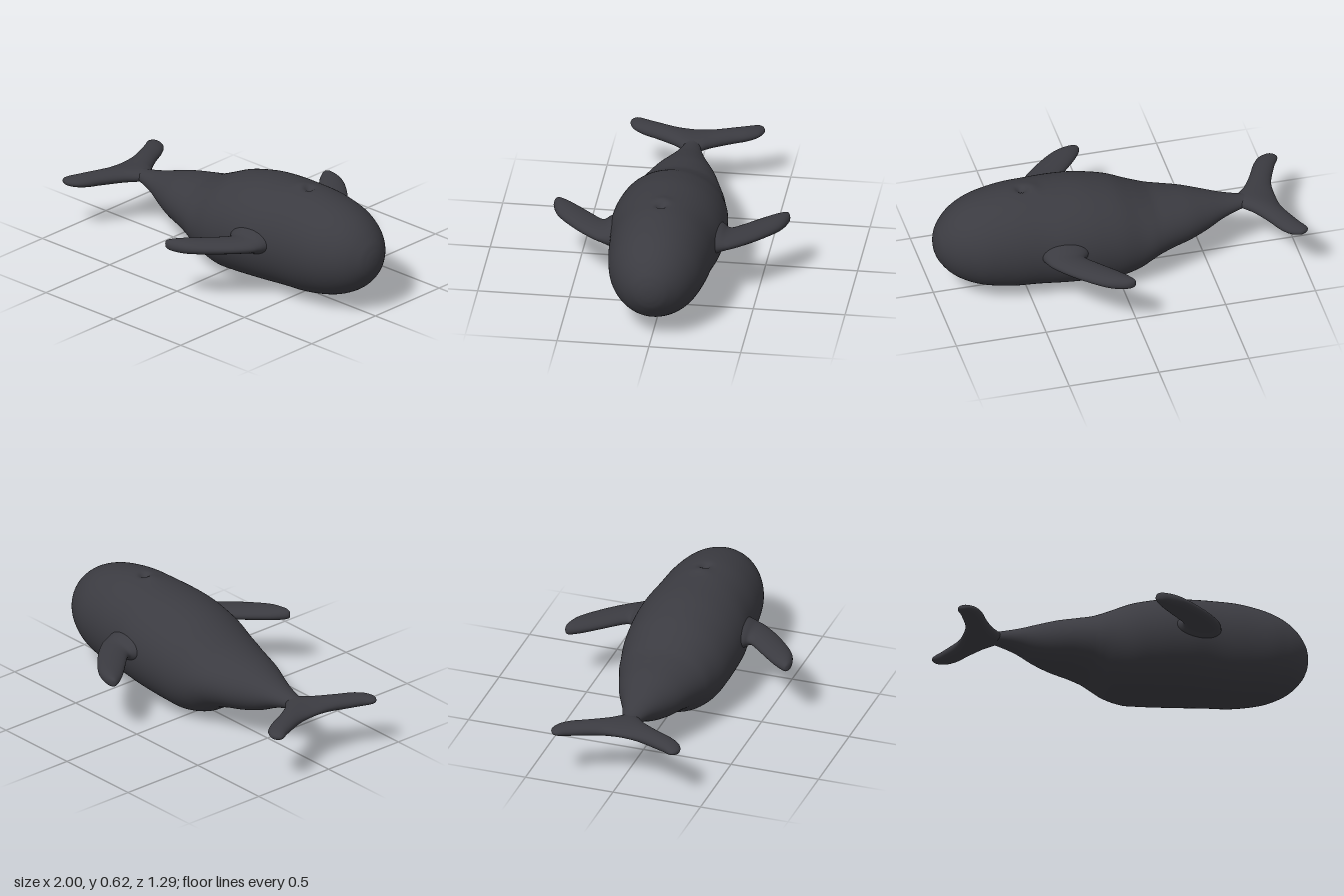
import * as THREE from 'three';

const skin = new THREE.MeshStandardMaterial({ color: 0x3b3b41 });

// Smooth skin over elliptical rings; ring(t) gives the centre c, the horizontal half axis a and the half height h
function loft(ring, rings, sides, shape) {
  const pos = [], index = [], p = new THREE.Vector3();
  for (let i = 0; i <= rings; i++) {
    const { c, a, h } = ring(i / rings);
    for (let j = 0; j < sides; j++) {
      const t = (j / sides) * Math.PI * 2;
      p.copy(c).addScaledVector(a, Math.cos(t));
      p.y += h * Math.sin(t);
      if (shape) shape(p);
      pos.push(p.x, p.y, p.z);
      if (i === rings) continue;
      const k = (j + 1) % sides, m = i * sides, n = m + sides;
      index.push(m + j, n + j, m + k, m + k, n + j, n + k);
    }
  }
  const g = new THREE.BufferGeometry();
  g.setAttribute('position', new THREE.Float32BufferAttribute(pos, 3));
  g.setIndex(index);
  g.computeVertexNormals();
  return g;
}

const curve = (pts) => new THREE.CatmullRomCurve3(pts.map((p) => new THREE.Vector3(...p)), false, 'catmullrom', 0.5);

function part(name, geometry) {
  const mesh = new THREE.Mesh(geometry, skin);
  mesh.name = name;
  return mesh;
}

// Body stations from tail to nose: x, bottom, top, half width
const BODY = [
  [-0.8, 0.3, 0.3, 0], [-0.77, 0.272, 0.33, 0.035], [-0.7, 0.26, 0.338, 0.052], [-0.6, 0.228, 0.36, 0.085],
  [-0.5, 0.18, 0.39, 0.13], [-0.4, 0.147, 0.417, 0.175], [-0.3, 0.125, 0.435, 0.21], [-0.22, 0.1, 0.45, 0.238],
  [-0.17, 0.072, 0.468, 0.255], [-0.1, 0.03, 0.5, 0.272], [0, 0.004, 0.545, 0.295], [0.1, 0.006, 0.573, 0.306],
  [0.2, 0.012, 0.592, 0.311], [0.32, 0.02, 0.602, 0.308], [0.45, 0.027, 0.609, 0.289], [0.6, 0.035, 0.607, 0.275],
  [0.75, 0.065, 0.579, 0.25], [0.85, 0.106, 0.54, 0.21], [0.92, 0.155, 0.49, 0.162], [0.97, 0.216, 0.43, 0.103],
  [0.99, 0.259, 0.386, 0.061], [0.998, 0.293, 0.352, 0.028], [1, 0.322, 0.322, 0],
];

// Blowhole: a shallow pit with a soft rim behind it
function blowhole(p) {
  if (p.y < 0.45) return;
  const d = Math.hypot(p.x - 0.51, p.z);
  p.y -= 0.03 * Math.exp(-((d / 0.024) ** 2));
  p.y += 0.009 * Math.exp(-(((p.x - 0.45) / 0.035) ** 2) - (p.z / 0.05) ** 2);
}

function bodyGeometry() {
  const heights = curve(BODY.map(([x, b, t]) => [x, b, t]));
  const widths = curve(BODY.map(([x, , , w]) => [x, w, 0]));
  return loft((t) => {
    const s = heights.getPoint(t), w = widths.getPoint(t).y;
    return { c: new THREE.Vector3(s.x, (s.y + s.z) / 2, 0), a: new THREE.Vector3(0, 0, w), h: (s.z - s.y) / 2 };
  }, 220, 128, blowhole);
}

// Fin stations from tip inwards: leading x, z, trailing x, z, half thickness
const FLIPPER = [
  [0.037, 0.632, 0.037, 0.632, 0], [0.052, 0.64, 0.03, 0.621, 0.018], [0.09, 0.642, 0.034, 0.602, 0.029],
  [0.16, 0.622, 0.053, 0.57, 0.036], [0.22, 0.587, 0.08, 0.533, 0.038], [0.3, 0.52, 0.132, 0.473, 0.038],
  [0.37, 0.45, 0.19, 0.41, 0.038], [0.43, 0.375, 0.233, 0.362, 0.04], [0.45, 0.333, 0.24, 0.336, 0.047],
  [0.463, 0.29, 0.215, 0.308, 0.066], [0.48, 0.22, 0.17, 0.24, 0.09],
];
const HALF_FLUKE = [
  [-0.965, 0.365, -0.965, 0.365, 0], [-0.945, 0.365, -0.988, 0.353, 0.012], [-0.915, 0.354, -1, 0.335, 0.02],
  [-0.885, 0.332, -0.995, 0.312, 0.027], [-0.85, 0.28, -0.973, 0.275, 0.034], [-0.82, 0.215, -0.947, 0.215, 0.037],
  [-0.785, 0.15, -0.923, 0.155, 0.039], [-0.745, 0.09, -0.908, 0.1, 0.039], [-0.705, 0.05, -0.903, 0.05, 0.039],
];

const mirror = (stations) => stations.map(([x, z, u, w, h]) => [x, -z, u, -w, h]).reverse();

function finGeometry(stations, y) {
  const lead = curve(stations.map(([x, z, , , h]) => [x, h, z]));
  const trail = curve(stations.map(([, , x, z, h]) => [x, h, z]));
  return loft((t) => {
    const l = lead.getPoint(t), r = trail.getPoint(t), h = l.y;
    l.y = r.y = y;
    return { c: l.clone().add(r).multiplyScalar(0.5), a: l.clone().sub(r).multiplyScalar(0.5), h };
  }, 70, 40);
}

export function createModel() {
  const whale = new THREE.Group();
  whale.name = 'whale';
  whale.add(
    part('body', bodyGeometry()),
    part('flipperFront', finGeometry(FLIPPER, 0.337)),
    part('flipperBack', finGeometry(mirror(FLIPPER), 0.337)),
    part('tailFluke', finGeometry([...HALF_FLUKE, [-0.67, 0, -0.902, 0, 0.039], ...mirror(HALF_FLUKE)], 0.3)),
  );
  return whale;
}
